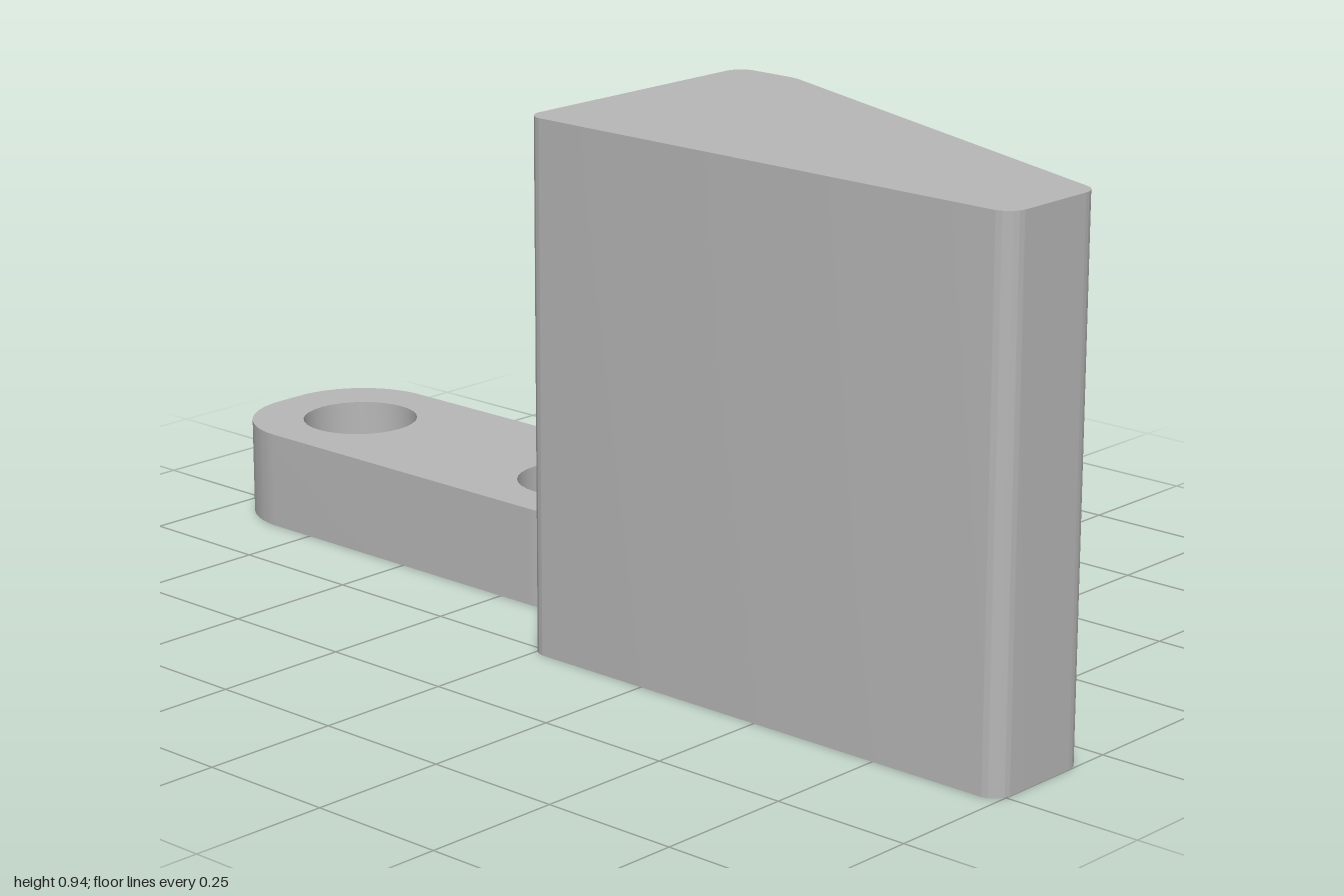
import * as THREE from 'three';
import { toCreasedNormals } from 'three/addons/utils/BufferGeometryUtils.js';

// Closed outline from [x, z, radius] corners, each rounded by a tangent arc
function roundedOutline(corners) {
  const shape = new THREE.Shape();
  const pts = corners.map(([x, z]) => new THREE.Vector2(x, -z));
  const n = pts.length;
  corners.forEach(([, , r = 0], i) => {
    const p = pts[i];
    const a = pts[(i + n - 1) % n].clone().sub(p).normalize();
    const b = pts[(i + 1) % n].clone().sub(p).normalize();
    const move = (q) => (i === 0 ? shape.moveTo(q.x, q.y) : shape.lineTo(q.x, q.y));
    if (!r) return move(p);
    const half = Math.acos(a.dot(b)) / 2;
    const start = p.clone().addScaledVector(a, r / Math.tan(half));
    const end = p.clone().addScaledVector(b, r / Math.tan(half));
    const c = a.clone().add(b).normalize().multiplyScalar(r / Math.sin(half)).add(p);
    move(start);
    shape.absarc(c.x, c.y, r, Math.atan2(start.y - c.y, start.x - c.x),
      Math.atan2(end.y - c.y, end.x - c.x), a.cross(b) > 0);
  });
  shape.closePath();
  return shape;
}

// Upright prism standing on y = 0
function prism(name, shape, height, material) {
  const geo = new THREE.ExtrudeGeometry(shape, { depth: height, bevelEnabled: false, curveSegments: 16 });
  geo.rotateX(-Math.PI / 2);
  const mesh = new THREE.Mesh(toCreasedNormals(geo, 0.45), material);
  mesh.name = name;
  return mesh;
}

export function createModel() {
  const model = new THREE.Group();
  model.name = 'wedgeBracket';
  const grey = new THREE.MeshStandardMaterial({ color: 0xb8b8b8 });
  grey.name = 'plain grey';

  // Tall wedge block with rounded vertical edges
  model.add(prism('wedgeBlock', roundedOutline([
    [-0.01, 0.273, 0.035], [1, 0.273, 0.035], [1, 0.062, 0.04],
    [0.118, -0.26, 0.1], [-0.01, -0.26, 0.035],
  ]), 0.935, grey));

  // Low mounting arm, flared where it runs into the block
  const arm = roundedOutline([
    [-1, 0.1, 0.16], [-0.155, 0.1, 0.12], [-0.118, 0.086],
    [0.1, 0.235], [0.14, 0.2], [0.14, -0.26],
    [-0.12, -0.26], [-0.155, -0.273, 0.12], [-1, -0.273, 0.16],
  ]);
  // Two screw holes
  for (const x of [-0.805, -0.24]) {
    const hole = new THREE.Path();
    hole.absarc(x, 0.086, 0.107, 0, Math.PI * 2, true);
    arm.holes.push(hole);
  }
  model.add(prism('mountingArm', arm, 0.178, grey));
  return model;
}
